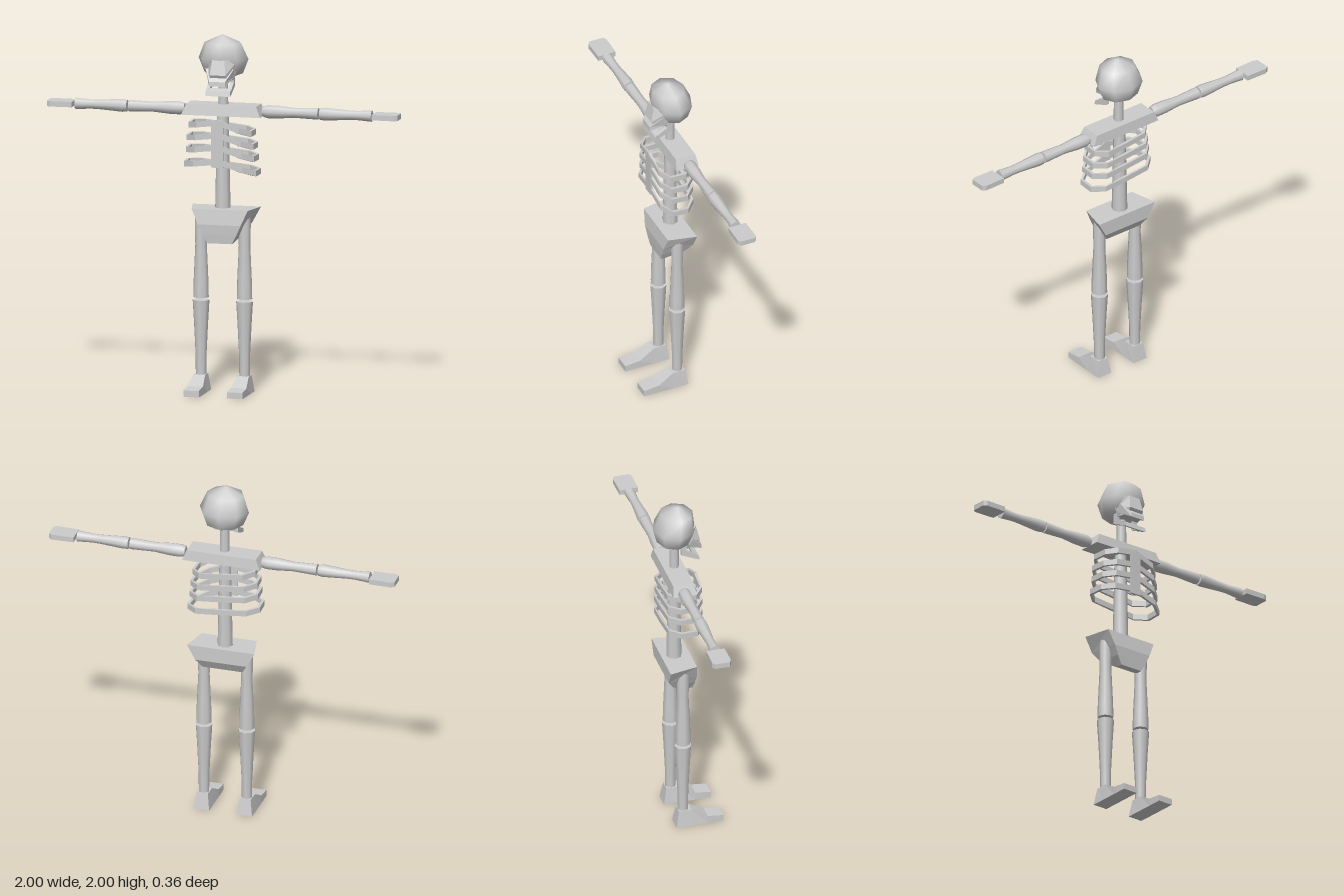
import * as THREE from 'three';
import { mergeVertices } from 'three/addons/utils/BufferGeometryUtils.js';

const material = new THREE.MeshStandardMaterial({ color: 0xcccccc });

// Skin a list of equal-length corner loops; winding is fixed from the signed volume.
function loft(loops, { closed = false, smooth = false } = {}) {
  const n = loops[0].length, tris = [];
  const spans = closed ? loops.length : loops.length - 1;
  for (let i = 0; i < spans; i++) {
    const a = loops[i], b = loops[(i + 1) % loops.length];
    for (let j = 0; j < n; j++) {
      const k = (j + 1) % n;
      tris.push([a[j], a[k], b[k]], [a[j], b[k], b[j]]);
    }
  }
  if (!closed) {
    const first = loops[0], last = loops[loops.length - 1];
    for (let j = 1; j < n - 1; j++) {
      tris.push([first[0], first[j + 1], first[j]], [last[0], last[j], last[j + 1]]);
    }
  }
  let volume = 0;
  const v = (p) => new THREE.Vector3(...p);
  for (const [a, b, c] of tris) volume += v(a).dot(v(b).cross(v(c)));
  const points = tris.flatMap(([a, b, c]) => (volume < 0 ? [a, c, b] : [a, b, c]));
  let geo = new THREE.BufferGeometry();
  geo.setAttribute('position', new THREE.Float32BufferAttribute(points.flat(), 3));
  if (smooth) geo = mergeVertices(geo, 1e-4);
  geo.computeVertexNormals();
  return geo;
}

// Horizontal trapezoid: front half-width, back half-width, front z, back z
const slab = (y, wf, wb, zf, zb, cx = 0) =>
  [[cx - wf, y, zf], [cx + wf, y, zf], [cx + wb, y, zb], [cx - wb, y, zb]];

// Extrusion of a z/y outline across x
const plate = (outline, x0, x1) => loft([x0, x1].map((x) => outline.map(([z, y]) => [x, y, z])));

// Bone with a flared profile of [radius, height] pairs and closed ends
function bone(profile, sides = 8) {
  const pts = profile.map(([r, y]) => new THREE.Vector2(r, y));
  const geo = new THREE.LatheGeometry(pts, sides);
  const ends = [profile[0], profile[profile.length - 1]];
  return [geo, ...ends.map(([r, y], i) =>
    new THREE.CircleGeometry(r, sides).rotateX(i ? -Math.PI / 2 : Math.PI / 2).translate(0, y, 0))];
}

export function createModel() {
  const model = new THREE.Group();
  const add = (name, geo) => {
    const parts = [].concat(geo).map((g) => new THREE.Mesh(g, material));
    parts.forEach((m) => { m.name = name; });
    if (parts.length === 1) { model.add(parts[0]); return parts[0]; }
    const group = new THREE.Group();
    group.name = name;
    group.add(...parts);
    model.add(group);
    return group;
  };

  // Cranium: stacked eight-sided rings
  const skullRings = [
    [1.765, 0.06, -0.02, -0.12], [1.785, 0.11, 0.03, -0.155], [1.865, 0.142, 0.06, -0.177],
    [1.955, 0.105, 0.05, -0.135], [1.998, 0.012, -0.025, -0.05],
  ].map(([y, w, zf, zb]) => Array.from({ length: 8 }, (_, i) => {
    const a = (i * Math.PI) / 4;
    return [w * Math.sin(a), y, (zf + zb) / 2 + ((zf - zb) / 2) * Math.cos(a)];
  }));
  add('cranium', loft(skullRings, { smooth: true }));

  // Face, upper jaw and open lower jaw
  add('face', loft([
    slab(1.755, 0.05, 0.07, 0.06, 0), slab(1.79, 0.045, 0.085, 0.08, 0), slab(1.87, 0.035, 0.1, 0.06, 0),
  ]));
  add('upperJaw', loft([
    [[-0.08, 1.775, 0], [0.08, 1.775, 0], [0.08, 1.82, 0.03], [-0.08, 1.82, 0.03]],
    [[-0.045, 1.73, 0.09], [0.045, 1.73, 0.09], [0.045, 1.755, 0.088], [-0.045, 1.755, 0.088]],
  ]));
  add('chin', plate([[0.073, 1.672], [0.066, 1.7], [0.035, 1.712], [0.04, 1.685]], -0.07, 0.07));
  for (const s of [-1, 1]) {
    add('jawArm', plate([[0.055, 1.68], [0.055, 1.705], [-0.03, 1.755], [-0.035, 1.72]], s * 0.052, s * 0.072));
    add('jawHinge', plate([[-0.005, 1.73], [-0.005, 1.79], [-0.035, 1.79], [-0.035, 1.72]], s * 0.052, s * 0.072));
  }

  // Spine and neck
  add('neck', new THREE.CylinderGeometry(0.026, 0.028, 0.24, 8)).position.set(0, 1.68, -0.055);
  add('spine', new THREE.CylinderGeometry(0.033, 0.044, 0.55, 8)).position.set(-0.004, 1.295, -0.058);

  // Shoulder bar
  add('shoulderBar', loft([slab(1.55, 0.225, 0.225, 0.01, -0.125), slab(1.61, 0.2, 0.2, 0, -0.118)]));

  // Breastbone
  add('breastbone', new THREE.BoxGeometry(0.066, 0.255, 0.012)).position.set(-0.003, 1.4, 0.071);

  // Rib hoops: tilted down to the left, rising to the breastbone in front
  const hoop = [[0, 0.068], [0.65, 0.065], [0.96, 0.02], [0.98, -0.07], [0.68, -0.125], [0, -0.125],
    [-0.68, -0.125], [-0.98, -0.07], [-0.96, 0.02], [-0.65, 0.065]];
  [[1.48, 0.178], [1.408, 0.19], [1.34, 0.195], [1.26, 0.207]].forEach(([y, w]) => {
    const loops = hoop.map(([u, z]) => {
      const rise = z > 0.05 ? 0.045 * (1 - Math.abs(u)) : 0;
      const cy = y - 0.02 * u + rise;
      const out = new THREE.Vector2(u * w, z + 0.03).normalize().multiplyScalar(0.008);
      return [[-1, -1], [1, -1], [1, 1], [-1, 1]].map(([r, h]) =>
        [u * w + r * out.x, cy + h * 0.016, z + r * out.y]);
    });
    add('ribHoop', loft(loops, { closed: true }));
  });

  // Pelvis: wide at the top, wedge-shaped below
  add('pelvis', loft([
    slab(0.84, 0.07, 0.07, 0.032, 0.0), slab(0.89, 0.097, 0.115, 0.037, -0.095),
    slab(0.945, 0.122, 0.148, 0.041, -0.13), slab(1.03, 0.16, 0.195, 0.03, -0.13),
  ]));

  for (const s of [-1, 1]) {
    // Arm
    const upperArm = add('upperArm', bone([[0.029, 0.222], [0.037, 0.25], [0.036, 0.31], [0.028, 0.4], [0.033, 0.54]]));
    const forearm = add('forearm', bone([[0.034, 0.55], [0.036, 0.58], [0.027, 0.71], [0.026, 0.76], [0.032, 0.845]]));
    for (const b of [upperArm, forearm]) {
      b.rotation.z = -s * Math.PI / 2;
      b.position.set(0, 1.575, -0.065);
    }
    // Hand slab with clipped fingertips
    const hand = [[0.855, -0.015], [0.98, -0.013], [1, -0.025], [1, -0.11], [0.98, -0.122], [0.855, -0.12]];
    add('hand', loft([1.56, 1.59].map((y) => hand.map(([x, z]) => [s * x, y, z]))));

    // Leg
    const thigh = add('thigh', bone([[0.044, 0.525], [0.043, 0.6], [0.033, 0.82], [0.036, 0.95], [0.03, 1.0]]));
    const shin = add('shin', bone([[0.03, 0.08], [0.031, 0.2], [0.04, 0.38], [0.048, 0.51]]));
    for (const b of [thigh, shin]) b.position.set(s * 0.124, 0, -0.041);

    // Foot: stations along z of top height, top half-width and bottom half-width
    add('foot', loft([
      [-0.09, 0, 0.045, 0.045, -0.073, 0.095, 0.032], [0, 0, 0.045, 0.045, 0, 0.095, 0.034],
      [0.09, 0, 0.045, 0.045, 0.09, 0.045, 0.044], [0.18, 0, 0.045, 0.045, 0.18, 0.035, 0.044],
    ].map(([zb, yb, wl, wr, zt, yt, wt]) => {
      const cx = s * 0.124;
      return [[cx - wl, yb, zb], [cx + wr, yb, zb], [cx + wt, yt, zt], [cx - wt, yt, zt]];
    })));
  }
  return model;
}
